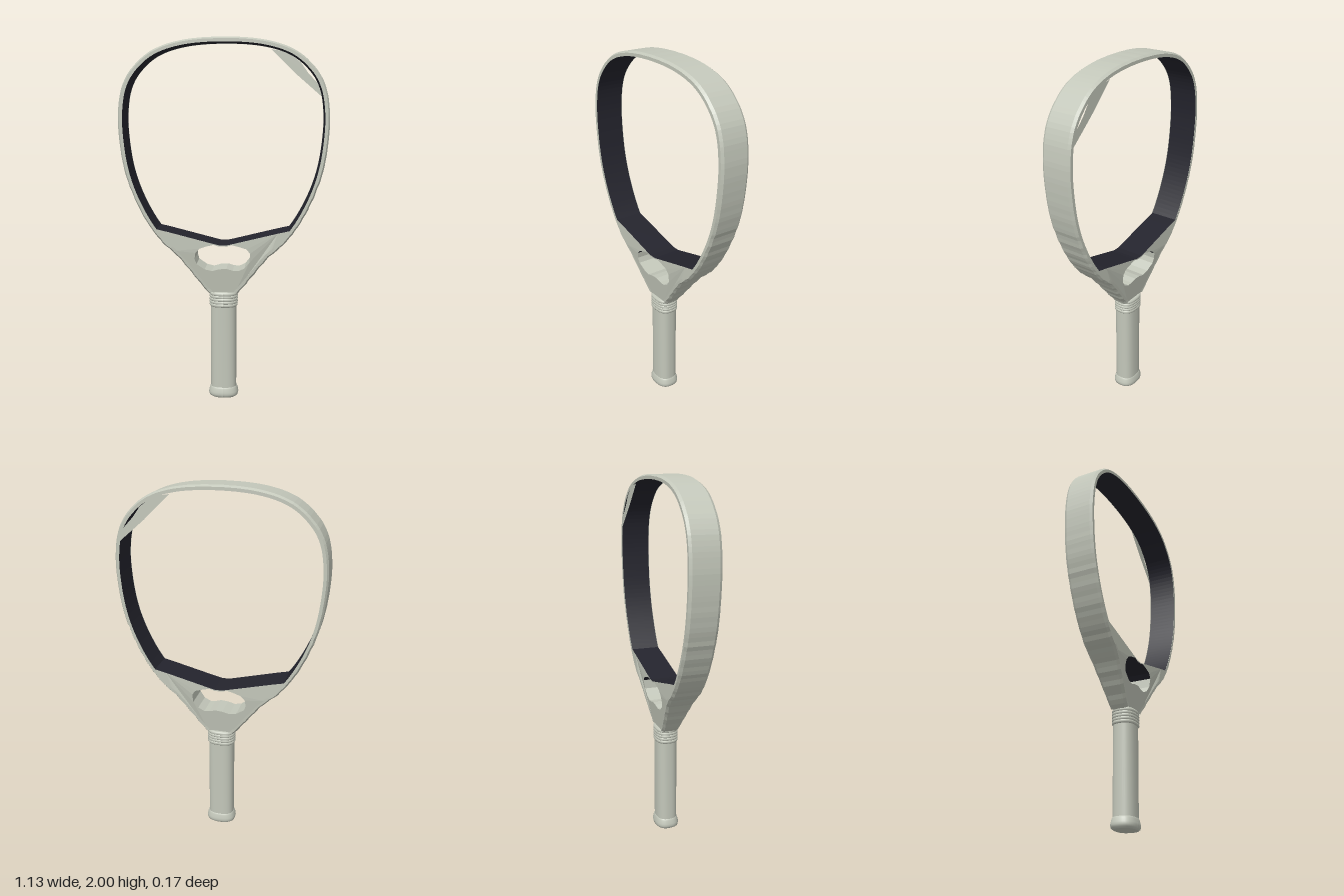
import * as THREE from 'three';

const pale = new THREE.MeshStandardMaterial({ color: 0xc3c7ba, side: THREE.DoubleSide });
pale.name = 'pale grey';
const dark = new THREE.MeshStandardMaterial({ color: 0x24242d, side: THREE.DoubleSide });
dark.name = 'dark navy';

// half thickness: full on the head, tapering through the throat
const depth = (y) => 0.05 + 0.033 * THREE.MathUtils.clamp((y - 0.62) / 0.24, 0, 1);

function addMesh(group, name, geometry, material) {
  const mesh = new THREE.Mesh(geometry, material);
  mesh.name = name;
  group.add(mesh);
}

// joins rows of points into a flat-shaded surface
function loft(rows) {
  const pos = [];
  for (let i = 0; i < rows.length - 1; i++) {
    for (let j = 0; j < rows[i].length - 1; j++) {
      const a = rows[i][j], b = rows[i][j + 1], c = rows[i + 1][j + 1], d = rows[i + 1][j];
      pos.push(...a, ...b, ...c, ...a, ...c, ...d);
    }
  }
  const g = new THREE.BufferGeometry();
  g.setAttribute('position', new THREE.Float32BufferAttribute(pos, 3));
  g.computeVertexNormals();
  return g;
}

// wall running front to back along a 2D line
const wall = (pts) => loft(pts.map((p) => [[p.x, p.y, depth(p.y) - 0.002], [p.x, p.y, 0.002 - depth(p.y)]]));

// flat sheet on the front (side 1) or back (side -1)
function sheet(shape, side) {
  let g = new THREE.ShapeGeometry(shape, 8).toNonIndexed();
  const p = g.attributes.position;
  for (let i = 0; i < p.count; i++) p.setZ(i, side * (depth(p.getY(i)) - 0.002));
  if (side < 0) {
    for (let i = 0; i < p.count; i += 3) {
      const a = [p.getX(i), p.getY(i), p.getZ(i)];
      p.setXYZ(i, p.getX(i + 1), p.getY(i + 1), p.getZ(i + 1));
      p.setXYZ(i + 1, ...a);
    }
  }
  g.computeVertexNormals();
  return g;
}

// turned part with a slightly squared oval section
function turned(profile) {
  const g = new THREE.LatheGeometry(profile.map(([r, y]) => new THREE.Vector2(r, y)), 40);
  const p = g.attributes.position;
  for (let i = 0; i < p.count; i++) {
    const x = p.getX(i), z = p.getZ(i), r = Math.hypot(x, z);
    if (r < 1e-6) continue;
    const k = Math.pow(Math.abs(x / r) ** 2.6 + Math.abs(z / r) ** 2.6, -1 / 2.6);
    p.setX(i, x * k);
    p.setZ(i, z * k * 0.81);
  }
  g.computeVertexNormals();
  return g;
}

const vec = (list) => list.map(([x, y]) => new THREE.Vector2(x, y));

export function createModel() {
  const model = new THREE.Group();
  model.name = 'racket';

  // outline of the head, from the throat up the left side and down the right
  const half = [[0.08, 0.61], [0.125, 0.665], [0.19, 0.75], [0.255, 0.83], [0.34, 0.91], [0.42, 1.02],
    [0.49, 1.16], [0.535, 1.3], [0.558, 1.45], [0.563, 1.6], [0.54, 1.74], [0.48, 1.845],
    [0.37, 1.935], [0.21, 1.985]];
  const outline = new THREE.SplineCurve(vec([...half, [0, 2], ...half.map(([x, y]) => [-x, y]).reverse()]));
  const N = 150;
  const edge = [];
  for (let i = 0; i <= N; i++) {
    const t = i / N;
    const p = outline.getPointAt(t), d = outline.getTangentAt(t);
    const n = new THREE.Vector2(-d.y, d.x); // points inward
    const rough = p.y < 1.25 ? 0.004 : 0.001;
    const wobble = rough * Math.sin(i * 2.1) * Math.sin(i * 0.9 + 1);
    edge.push({ p, n, wobble });
  }
  const inset = (e, s) => new THREE.Vector2(e.p.x + e.n.x * s, Math.min(2, e.p.y + e.n.y * s));

  // chamfered rim
  const rim = edge.map((e) => {
    const D = depth(e.p.y);
    return [[0.026, D], [0.009, D], [0, D - 0.014], [0, 0.014 - D], [0.009, -D], [0.026, -D]].map(([s, z]) => {
      const q = inset(e, s + (s < 0.02 ? Math.abs(e.wobble) : 0));
      return [q.x, q.y, z];
    });
  });
  addMesh(model, 'rim', loft(rim), pale);

  // dark lining inside the head
  const lining = edge.filter((e) => e.p.y > 0.95).map((e) => inset(e, 0.025));
  addMesh(model, 'rimLining', wall(lining), dark);

  // throat panels with an opening
  const vee = vec([[-0.365, 0.98], [-0.3, 0.965], [-0.05, 0.902], [-0.02, 0.895], [0.02, 0.895],
    [0.05, 0.902], [0.3, 0.965], [0.365, 0.98]]);
  const lower = edge.filter((e) => e.p.y < 0.97).map((e) => inset(e, 0.016));
  const leftSide = lower.filter((p) => p.x < 0);
  const rightSide = lower.filter((p) => p.x > 0);
  const throat = new THREE.Shape([...vee, ...rightSide.reverse(), ...leftSide.reverse()]);
  const openingTop = vec([[-0.15, 0.85], [-0.125, 0.875], [-0.09, 0.887], [-0.05, 0.897], [-0.02, 0.888],
    [0.02, 0.888], [0.05, 0.897], [0.09, 0.887], [0.13, 0.875], [0.15, 0.85]]);
  const openingBottom = vec([[0.15, 0.85], [0.147, 0.8], [0.12, 0.765], [0.085, 0.748], [0.055, 0.75],
    [0.02, 0.76], [-0.02, 0.757], [-0.06, 0.746], [-0.1, 0.755], [-0.145, 0.785], [-0.155, 0.815], [-0.15, 0.85]]);
  throat.holes.push(new THREE.Path([...openingTop, ...openingBottom.slice(1, -1)]));
  addMesh(model, 'throatFront', sheet(throat, 1), pale);
  addMesh(model, 'throatBack', sheet(throat, -1), pale);
  addMesh(model, 'throatBridge', wall(vee), dark);
  addMesh(model, 'openingTop', wall(openingTop), dark);
  addMesh(model, 'openingWall', wall(openingBottom), pale);

  // thin corner web at the upper left of the back
  const web = new THREE.Shape(vec([[0.25, 1.945], [0.39, 1.81], [0.53, 1.69], [0.535, 1.73],
    [0.45, 1.82], [0.41, 1.875], [0.34, 1.93]]));
  addMesh(model, 'cornerWeb', sheet(web, -1), pale);

  // handle
  addMesh(model, 'grip', turned([[0.072, 0.04], [0.072, 0.55]]), pale);
  const collar = [[0, 0.535], [0.074, 0.535]];
  for (let i = 0; i < 5; i++) {
    const y = 0.537 + i * 0.016;
    collar.push([0.075, y], [0.079, y + 0.004], [0.079, y + 0.012], [0.075, y + 0.016]);
  }
  collar.push([0.07, 0.622], [0, 0.622]);
  addMesh(model, 'collar', turned(collar), pale);
  addMesh(model, 'buttCap', turned([[0, 0], [0.07, 0], [0.07, 0.001], [0.081, 0.008], [0.084, 0.02], [0.083, 0.032],
    [0.077, 0.052], [0.073, 0.06], [0.07, 0.061]]), pale);

  return model;
}
